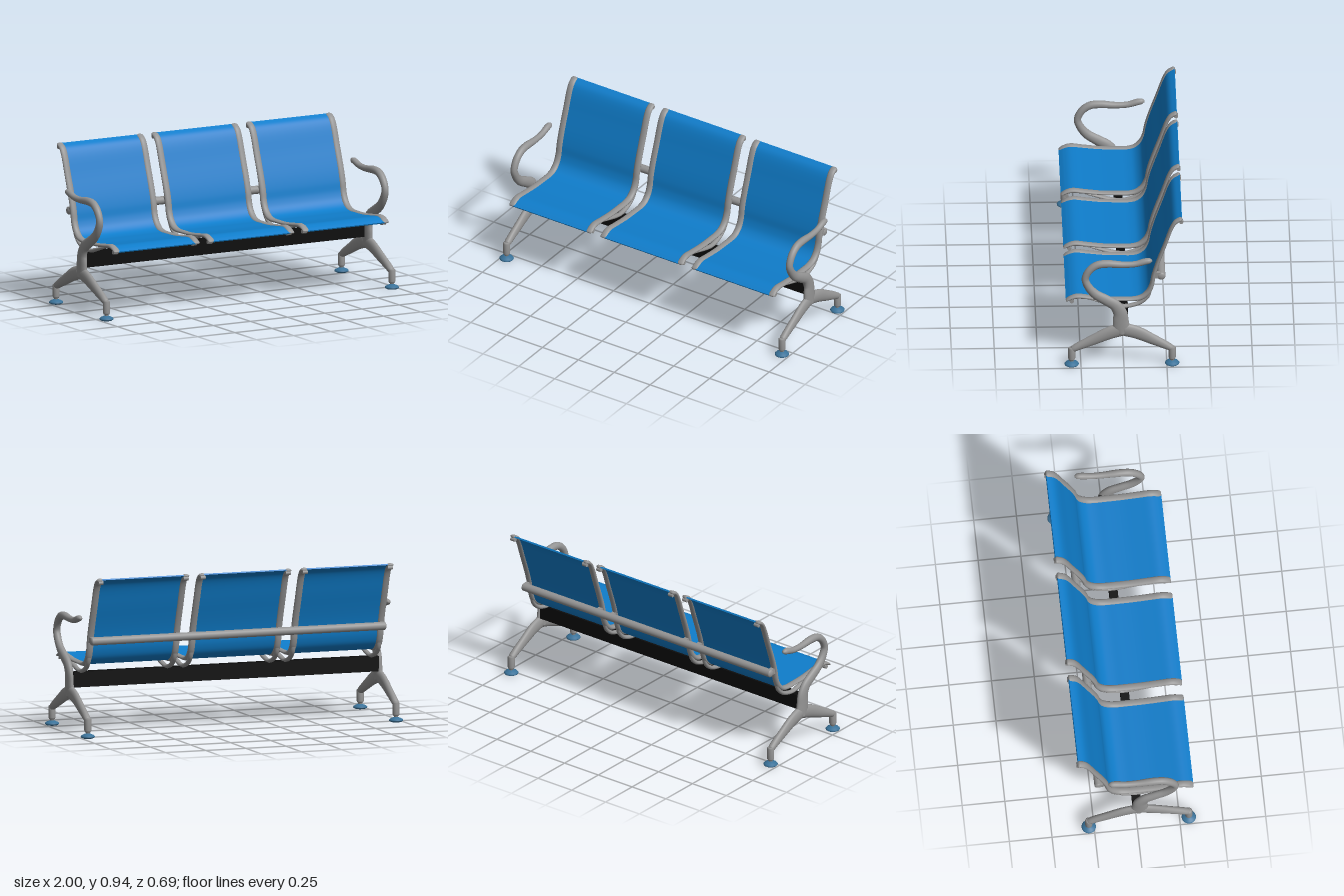
import * as THREE from 'three';
import { toCreasedNormals } from 'three/addons/utils/BufferGeometryUtils.js';

const mat = (name, color) => Object.assign(new THREE.MeshStandardMaterial({ color }), { name });

// Rounded bar swept along [z, y, thickness radius] points; width is capped at half-width w
function sweep(points, w, steps = 60, sides = 16, fixedWidth = false) {
  const curve = new THREE.CatmullRomCurve3(points.map(p => new THREE.Vector3(...p)), false, 'centripetal');
  const pos = [], idx = [];
  const ring = (t, scale) => {
    const p = curve.getPoint(t), d = curve.getTangent(t);
    const len = Math.hypot(d.x, d.y), tz = d.x / len, ty = d.y / len;
    const r = Math.max(p.z, 0.002) * scale;
    const hw = fixedWidth ? w * scale : Math.min(w, r);
    for (let j = 0; j < sides; j++) {
      const a = j / sides * Math.PI * 2, s = r * Math.sin(a);
      // in-plane normal is tangent x X axis
      pos.push(hw * Math.cos(a), p.y + tz * s, p.x - ty * s);
    }
  };
  ring(0, 0.001); ring(0, 0.75);
  for (let i = 1; i < steps; i++) ring(i / steps, 1);
  ring(1, 0.75); ring(1, 0.001);
  const rings = pos.length / 3 / sides;
  for (let i = 0; i < rings - 1; i++) for (let j = 0; j < sides; j++) {
    const a = i * sides + j, b = i * sides + (j + 1) % sides;
    idx.push(a, b, a + sides, b, b + sides, a + sides);
  }
  const g = new THREE.BufferGeometry();
  g.setAttribute('position', new THREE.Float32BufferAttribute(pos, 3));
  g.setIndex(idx);
  g.computeVertexNormals();
  return g;
}

// Side profile of seat and back: z, y, rail thickness radius
const PROFILE = [
  [0.335, 0.404, 0.006], [0.305, 0.420, 0.011], [0.27, 0.429, 0.013], [0.2, 0.422, 0.011],
  [0.1, 0.411, 0.010], [0, 0.408, 0.010], [-0.06, 0.408, 0.012], [-0.105, 0.419, 0.015],
  [-0.142, 0.452, 0.016], [-0.163, 0.5, 0.014], [-0.174, 0.56, 0.013], [-0.193, 0.63, 0.012],
  [-0.24, 0.765, 0.011], [-0.283, 0.885, 0.011], [-0.305, 0.917, 0.012], [-0.338, 0.937, 0.011],
];

// Thin sheet following the profile, extruded across the seat
function sheet(width, half) {
  const curve = new THREE.CatmullRomCurve3(PROFILE.map(([z, y]) => new THREE.Vector3(z, y, 0)), false, 'centripetal');
  const top = [], bottom = [], n = 64;
  for (let i = 0; i <= n; i++) {
    const p = curve.getPoint(i / n), t = curve.getTangent(i / n);
    top.push(new THREE.Vector2(p.x + t.y * half, p.y - t.x * half));
    bottom.push(new THREE.Vector2(p.x - t.y * half, p.y + t.x * half));
  }
  const g = new THREE.ExtrudeGeometry(new THREE.Shape([...top, ...bottom.reverse()]), { depth: width, bevelEnabled: false });
  g.rotateY(-Math.PI / 2).translate(width / 2, 0, 0);
  return toCreasedNormals(g, 0.7);
}

export function createModel() {
  const model = new THREE.Group();
  model.name = 'benchSeating';
  const grey = mat('greyMetal', 0x949494);
  const blue = mat('blueSheet', 0x0f7dcb);
  const black = mat('blackBeam', 0x0c0c0c);
  const steel = mat('steelBlueFeet', 0x3a7299);

  const add = (parent, name, geo, material, x = 0, y = 0, z = 0) => {
    const m = new THREE.Mesh(geo, material);
    m.name = name;
    m.position.set(x, y, z);
    parent.add(m);
    return m;
  };
  const lathe = pts => new THREE.LatheGeometry(pts.map(p => new THREE.Vector2(...p)), 28);
  const bar = (r, len, sides = 20) => new THREE.CylinderGeometry(r, r, len, sides).rotateZ(Math.PI / 2);

  // Seats: sheet, side rails, under brackets and end bolts
  const sheetGeo = sheet(0.515, 0.004);
  const railGeo = sweep(PROFILE, 0.021, 80, 16, true);
  const bracketGeo = sweep([
    [0.2, 0.415, 0.007], [0.12, 0.390, 0.010], [0.05, 0.369, 0.012], [0, 0.360, 0.012],
    [-0.04, 0.364, 0.012], [-0.1, 0.386, 0.012], [-0.14, 0.425, 0.012], [-0.16, 0.48, 0.008],
  ], 0.015, 40, 12, true);
  const boltGeo = bar(0.012, 0.03, 14);
  const clipGeo = new THREE.BoxGeometry(0.026, 0.035, 0.04);
  for (const x of [-0.636, 0, 0.636]) {
    const seat = new THREE.Group();
    seat.name = 'seat';
    seat.position.x = x;
    model.add(seat);
    add(seat, 'seatSheet', sheetGeo, blue);
    for (const s of [-1, 1]) {
      add(seat, 'sideRail', railGeo, grey, s * 0.268);
      add(seat, 'underBracket', bracketGeo, grey, s * 0.268);
      add(seat, 'frontBolt', boltGeo, grey, s * 0.265, 0.399, 0.302);
      add(seat, 'topBolt', boltGeo, grey, s * 0.265, 0.918, -0.335);
      add(seat, 'backClip', clipGeo, grey, s * 0.268, 0.565, -0.193);
    }
  }

  // Long beam under the seats and tube behind the backs
  add(model, 'beam', new THREE.BoxGeometry(1.9, 0.09, 0.05), black, 0, 0.31, 0);
  add(model, 'backTube', bar(0.024, 1.82, 24), grey, 0, 0.56, -0.219);
  const capGeo = new THREE.SphereGeometry(0.024, 20, 12).scale(0.5, 1, 1);
  for (const s of [-1, 1]) add(model, 'tubeEndCap', capGeo, grey, s * 0.91, 0.56, -0.219);

  // End frames: column curling into the armrest, two legs, posts and feet
  const armGeo = sweep([
    [0.01, 0.205, 0.022], [0.014, 0.24, 0.048], [0.018, 0.29, 0.047], [0.022, 0.345, 0.041],
    [0.05, 0.395, 0.035], [0.105, 0.432, 0.032], [0.17, 0.475, 0.028], [0.212, 0.53, 0.023],
    [0.225, 0.575, 0.021], [0.2, 0.63, 0.022], [0.155, 0.664, 0.023], [0.1, 0.672, 0.023],
    [0, 0.665, 0.019], [-0.07, 0.669, 0.018], [-0.125, 0.685, 0.019], [-0.15, 0.689, 0.016],
    [-0.165, 0.689, 0.006],
  ], 0.022, 110, 18);
  const legGeo = foot => sweep([
    [0.005, 0.238, 0.042], [0.08 * foot, 0.214, 0.040], [0.18 * foot, 0.166, 0.032],
    [0.26 * foot, 0.127, 0.024], [0.298 * foot, 0.106, 0.018],
  ], 0.021, 30, 18);
  const postGeo = lathe([[0, 0.121], [0.014, 0.12], [0.021, 0.113], [0.021, 0.048], [0.016, 0.038], [0.012, 0.036], [0.012, 0.024]].reverse());
  const footGeo = lathe([[0, 0.002], [0.03, 0.002], [0.04, 0.008], [0.042, 0.013], [0.036, 0.020], [0.02, 0.027], [0.012, 0.031], [0, 0.031]]);
  const legs = [[legGeo(1.02), 0.304], [legGeo(-0.95), -0.281]];
  for (const s of [-1, 1]) {
    const frame = new THREE.Group();
    frame.name = s > 0 ? 'leftEndFrame' : 'rightEndFrame';
    frame.position.x = s * 0.96;
    model.add(frame);
    add(frame, 'columnAndArmrest', armGeo, grey);
    for (const [geo, z] of legs) {
      add(frame, 'leg', geo, grey);
      add(frame, 'legPost', postGeo, grey, 0, 0, z);
      add(frame, 'foot', footGeo, steel, 0, 0, z);
    }
  }
  return model;
}
